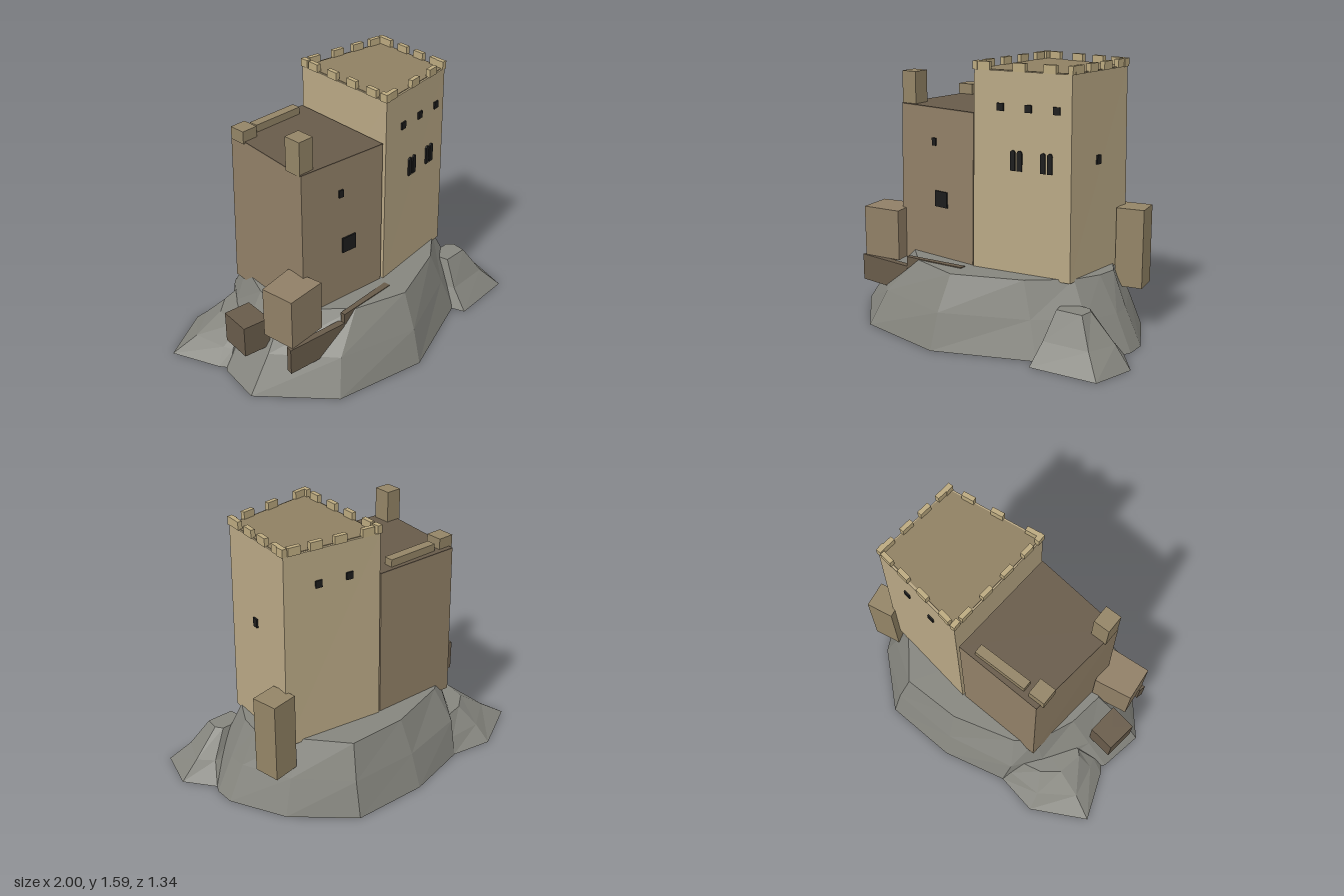
import * as THREE from 'three';

const mat = (name, color) => {
  const m = new THREE.MeshStandardMaterial({ color });
  m.name = name;
  return m;
};

// Flat-shaded solid through stacked rings of [x, y, z], ordered front, right, back, left
function loft(rings) {
  const pos = [];
  const tri = (a, b, c) => pos.push(...a, ...b, ...c);
  const centre = (r) => [0, 1, 2].map((k) => r.reduce((s, p) => s + p[k], 0) / r.length);
  const n = rings[0].length;
  const low = rings[0], high = rings[rings.length - 1];
  const cLow = centre(low), cHigh = centre(high);
  for (let i = 0; i < n; i++) {
    const j = (i + 1) % n;
    for (let k = 0; k + 1 < rings.length; k++) {
      const a = rings[k], b = rings[k + 1];
      tri(a[i], a[j], b[j]);
      tri(a[i], b[j], b[i]);
    }
    tri(cLow, low[j], low[i]);
    tri(cHigh, high[i], high[j]);
  }
  const g = new THREE.BufferGeometry();
  g.setAttribute('position', new THREE.Float32BufferAttribute(pos, 3));
  g.computeVertexNormals();
  return g;
}
const ring = (y, pts) => pts.map(([x, z]) => [x, y, z]);
const prism = (y0, y1, base, top = base) => loft([ring(y0, base), ring(y1, top)]);

export function createModel() {
  const root = new THREE.Group();
  root.name = 'castle';
  const M = {
    tower: mat('pale stone', 0xb8a784),
    trim: mat('battlement stone', 0xbba97f),
    towerRoof: mat('tower roof', 0x8f8062),
    house: mat('brown stone', 0x907f66),
    annex: mat('annex stone', 0x938466),
    dark: mat('dark brown', 0x685b4a),
    rock: mat('rock', 0x85857e),
    window: mat('window', 0x1c1c1c),
  };
  const add = (name, geo, material, parent = root) => {
    const m = new THREE.Mesh(geo, material);
    m.name = name;
    parent.add(m);
    return m;
  };
  const box = (name, x0, x1, y0, y1, z0, z1, material) => {
    const m = add(name, new THREE.BoxGeometry(x1 - x0, y1 - y0, z1 - z0), material);
    m.position.set((x0 + x1) / 2, (y0 + y1) / 2, (z0 + z1) / 2);
  };

  // Rock mound
  add('rockMound', loft([
    ring(0, [[-0.05, 0.665], [0.52, 0.46], [0.8, 0.25], [0.89, 0.06], [0.89, -0.06], [0.73, -0.38], [0.42, -0.66],
      [-0.03, -0.675], [-0.42, -0.58], [-0.6, -0.4], [-0.88, -0.1], [-0.93, 0.17], [-0.6, 0.55]]),
    ring(0.21, [[-0.04, 0.605], [0.45, 0.41], [0.7, 0.24], [0.79, 0.05], [0.79, -0.06], [0.66, -0.34], [0.4, -0.6],
      [-0.02, -0.61], [-0.44, -0.52], [-0.56, -0.36], [-0.73, -0.1], [-0.78, 0.16], [-0.52, 0.48]]),
    ring(0.415, [[-0.02, 0.51], [0.38, 0.37], [0.6, 0.2], [0.68, 0.05], [0.7, -0.07], [0.57, -0.29], [0.36, -0.53],
      [0, -0.53], [-0.38, -0.42], [-0.49, -0.34], [-0.59, -0.1], [-0.62, 0.12], [-0.33, 0.41]]),
  ]), M.rock);

  // Outcrops at two corners
  add('frontOutcrop', loft([
    ring(0, [[0.53, 0.545], [0.93, 0.52], [1, 0.27], [0.87, 0.1], [0.55, 0.1], [0.48, 0.4]]),
    ring(0.12, [[0.55, 0.44], [0.83, 0.43], [0.9, 0.26], [0.82, 0.18], [0.55, 0.15], [0.53, 0.36]]),
    ring(0.28, [[0.58, 0.35], [0.74, 0.35], [0.75, 0.27], [0.72, 0.23], [0.58, 0.23], [0.57, 0.3]]),
  ]), M.rock);
  add('backOutcrop', loft([
    ring(0, [[-0.85, -0.1], [-0.45, -0.1], [-0.35, -0.58], [-0.42, -0.58], [-0.675, -0.625], [-1, -0.45], [-0.89, -0.16]]),
    ring(0.09, [[-0.8, -0.13], [-0.45, -0.12], [-0.37, -0.5], [-0.45, -0.53], [-0.66, -0.53], [-0.86, -0.39], [-0.82, -0.19]]),
    ring(0.2, [[-0.7, -0.17], [-0.45, -0.15], [-0.4, -0.42], [-0.46, -0.46], [-0.6, -0.43], [-0.7, -0.35], [-0.73, -0.2]]),
  ]), M.rock);

  // Tapered main tower
  const towerBase = [[0, 0.32], [0.6, 0.245], [0.65, -0.3], [0.045, -0.39]];
  const towerTop = [[0.01, 0.31], [0.59, 0.235], [0.635, -0.295], [0.05, -0.38]];
  add('towerWalls', prism(0.4, 1.545, towerBase, towerTop), M.tower);
  add('towerRoof', prism(1.54, 1.549, towerTop.map(([x, z]) => [x * 0.97 + 0.01, z * 0.96])), M.towerRoof);

  // House
  const houseBase = [[-0.58, 0.25], [-0.012, 0.31], [0.03, -0.385], [-0.515, -0.4]];
  const houseTop = [[-0.57, 0.24], [-0.005, 0.3], [0.035, -0.375], [-0.5, -0.39]];
  add('houseWalls', prism(0.36, 1.295, houseBase, houseTop), M.house);
  add('houseRoof', prism(1.295, 1.301, houseTop), M.dark);
  box('frontChimney', -0.57, -0.472, 1.29, 1.49, 0.125, 0.232, M.annex);
  box('backChimney', -0.525, -0.425, 1.29, 1.365, -0.36, -0.26, M.annex);
  box('roofParapet', -0.39, -0.06, 1.29, 1.345, -0.355, -0.3, M.annex);

  // Places an object on side i of a tapered wall: u along it, v up it
  const onWall = (mesh, base, top, i, u, y, y0, y1, inset) => {
    const v = (y - y0) / (y1 - y0);
    const at = (k) => [0, 1].map((c) => base[k % 4][c] + (top[k % 4][c] - base[k % 4][c]) * v);
    const a = at(i), b = at(i + 1);
    const dx = b[0] - a[0], dz = b[1] - a[1], len = Math.hypot(dx, dz);
    mesh.position.set(a[0] + dx * u + (dz / len) * inset, y, a[1] + dz * u - (dx / len) * inset);
    mesh.rotation.y = Math.atan2(-dz, dx);
  };

  // Battlements
  const battlements = new THREE.Group();
  battlements.name = 'battlements';
  root.add(battlements);
  const merlonGeo = new THREE.BoxGeometry(0.075, 0.047, 0.027);
  [[0.1, 0.47, 0.78], [0.12, 0.37, 0.62, 0.88], [0.11, 0.33, 0.58, 0.87], [0.14, 0.37, 0.6, 0.83]].forEach((row, i) =>
    row.forEach((u) => onWall(add('merlon', merlonGeo, M.trim, battlements), towerBase, towerTop, i, u, 1.5675, 0.4, 1.545, 0.008)));
  // Short corner returns
  towerTop.forEach(([x, z], i) => {
    const m = add('cornerMerlon', new THREE.BoxGeometry(0.03, 0.047, 0.05), M.trim, battlements);
    m.position.set(x + (i === 1 || i === 2 ? -0.008 : 0.008), 1.5675, z + (i < 2 ? -0.02 : 0.02));
  });

  // Square windows: wall side, position along it, height, size
  const towerWindow = (i, u, y, w, h) =>
    onWall(add('towerWindow', new THREE.BoxGeometry(w, h, 0.018), M.window), towerBase, towerTop, i, u, y, 0.4, 1.545, 0);
  for (const u of [0.28, 0.567, 0.853]) towerWindow(0, u, 1.348, 0.04, 0.042);
  towerWindow(1, 0.47, 1.055, 0.036, 0.052);
  for (const u of [0.35, 0.67]) towerWindow(2, u, 1.348, 0.04, 0.042);
  for (const [u, y, w, h] of [[0.47, 1.1, 0.03, 0.045], [0.57, 0.765, 0.094, 0.094]]) {
    onWall(add('houseWindow', new THREE.BoxGeometry(w, h, 0.018), M.window), houseBase, houseTop, 0, u, y, 0.36, 1.295, 0);
  }

  // Paired arched windows
  const arch = new THREE.Shape();
  arch.moveTo(-0.015, -0.057).lineTo(0.015, -0.057).lineTo(0.015, 0.042);
  arch.absarc(0, 0.042, 0.015, 0, Math.PI, false);
  const archGeo = new THREE.ExtrudeGeometry(arch, { depth: 0.018, bevelEnabled: false, curveSegments: 4 });
  archGeo.translate(0, 0, -0.009);
  for (const u of [0.413, 0.483, 0.72, 0.79]) {
    onWall(add('archedWindow', archGeo, M.window), towerBase, towerTop, 0, u, 1.057, 0.4, 1.545, 0);
  }

  // Annexes and outer walls
  add('rightAnnex', prism(0.278, 0.745, [[0.645, -0.19], [0.805, -0.22], [0.78, -0.375], [0.62, -0.345]]), M.annex);
  add('leftTurret', prism(0.36, 0.665, [[-0.78, 0.365], [-0.535, 0.345], [-0.57, 0.12], [-0.8, 0.16]]), M.house);
  add('leftBlock', prism(0.225, 0.415, [[-0.895, 0.1], [-0.73, 0.125], [-0.71, -0.07], [-0.87, -0.09]]), M.dark);
  add('outerWall', prism(0.2, 0.36, [[-0.8, 0.37], [-0.42, 0.41], [-0.42, 0.37], [-0.79, 0.33]]), M.dark);
  add('terraceWall', prism(0.35, 0.42, [[-0.42, 0.41], [-0.03, 0.4], [-0.03, 0.36], [-0.42, 0.38]]), M.dark);
  return root;
}
